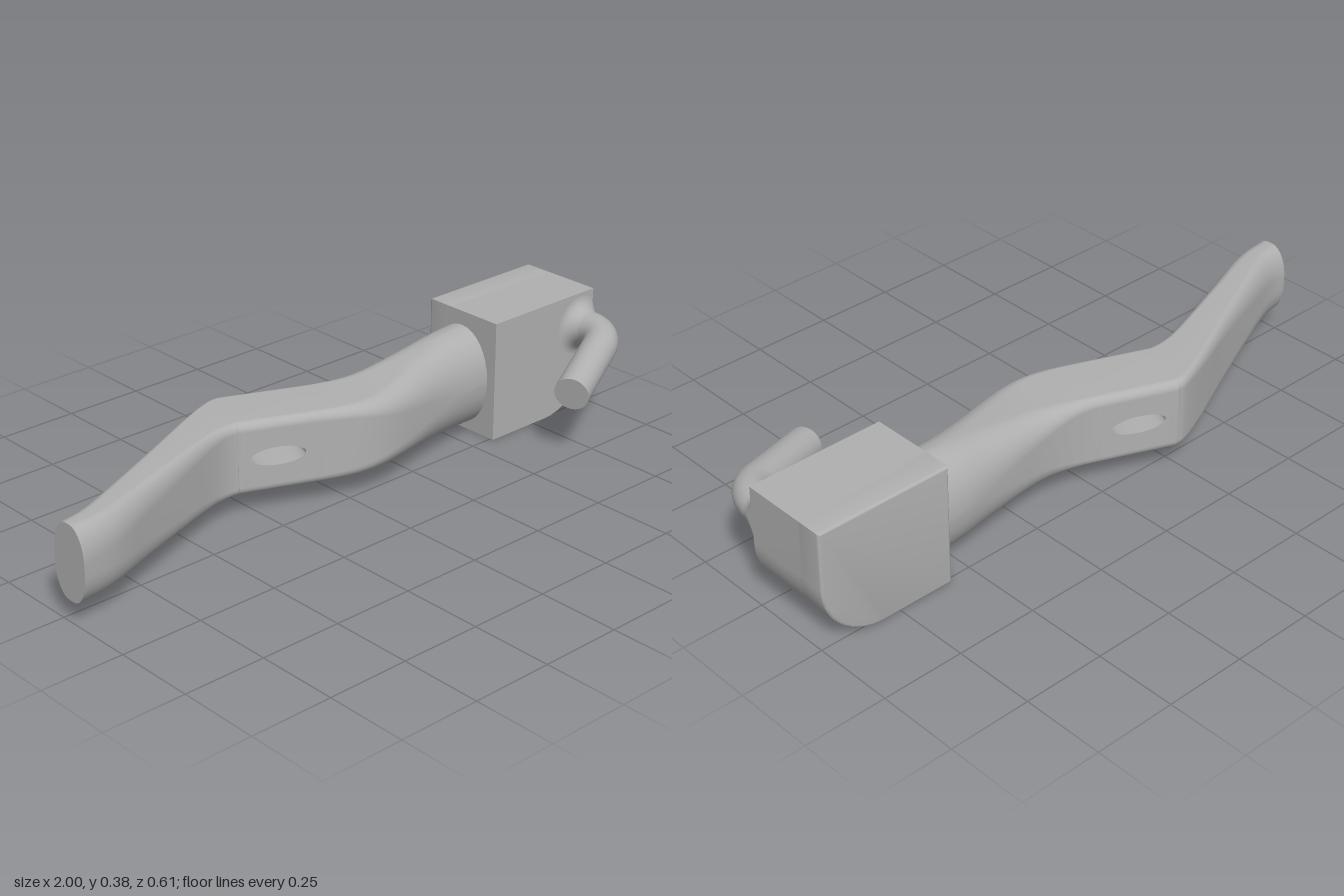
import * as THREE from 'three';
import { toCreasedNormals } from 'three/addons/utils/BufferGeometryUtils.js';

const MID_Y = 0.177, ARC = 8, HOLE_ROW = 8;

// Handle stations: front x, front z, back x, back z, half height, corner roundness
const ROWS = [
  [-1, 0.105, -1, -0.025, 0.112, 0.85],
  [-0.87, 0.08, -0.92, -0.037, 0.112, 0.75],
  [-0.7, 0.01, -0.76, -0.1, 0.112, 0.6],
  [-0.5, -0.07, -0.57, -0.18, 0.112, 0.42],
  [-0.41, -0.103, -0.42, -0.248, 0.112, 0.32],
  [-0.365, -0.114, -0.33, -0.286, 0.112, 0.26],
  [-0.335, -0.116, -0.27, -0.307, 0.112, 0.24],
  [-0.315, -0.114, -0.24, -0.31, 0.112, 0.24],
  [-0.29, -0.106, -0.21, -0.302, 0.112, 0.24],
  [-0.1, -0.025, -0.02, -0.222, 0.111, 0.24],
  [0, 0.017, 0.05, -0.202, 0.111, 0.3],
  [0.07, 0.036, 0.1, -0.196, 0.112, 0.4],
  [0.14, 0.039, 0.15, -0.195, 0.115, 0.52],
  [0.22, 0.029, 0.22, -0.2, 0.122, 0.65],
  [0.36, 0.002, 0.36, -0.219, 0.138, 0.85],
  [0.47, -0.013, 0.47, -0.236, 0.15, 0.95],
  [0.575, -0.021, 0.575, -0.243, 0.155, 0.96],
  [0.6, -0.021, 0.6, -0.243, 0.155, 0.96],
];

function geometryFrom(points, index) {
  const g = new THREE.BufferGeometry();
  g.setAttribute('position', new THREE.Float32BufferAttribute(points.flat(), 3));
  g.setIndex(index);
  g.computeVertexNormals();
  return g;
}

// Catmull-Rom blend of two neighbouring stations
function blend(i, t) {
  const at = (k) => ROWS[Math.min(Math.max(k, 0), ROWS.length - 1)];
  const [a, b, c, d] = [at(i - 1), at(i), at(i + 1), at(i + 2)];
  return b.map((v, k) => v + 0.5 * t * (c[k] - a[k]
    + t * (2 * a[k] - 5 * v + 4 * c[k] - d[k] + t * (3 * (v - c[k]) + d[k] - a[k]))));
}

// Point on a station: q = 1 is the front face, q = -1 the back face
function place([fx, fz, bx, bz], q, y) {
  const f = (1 + q) / 2;
  return [bx + (fx - bx) * f, y, bz + (fz - bz) * f];
}

// Rounded rectangle section, from front over the top to the back and under
function section(row) {
  const [, , , , hh, r] = row, pts = [];
  for (let c = 0; c < 4; c++) {
    const sz = c === 0 || c === 3 ? 1 : -1, sy = c < 2 ? 1 : -1;
    for (let k = 0; k <= ARC; k++) {
      const a = (c + k / ARC) * Math.PI / 2;
      pts.push(place(row, sz * (1 - r) + r * Math.cos(a), MID_Y + hh * (sy * (1 - r) + r * Math.sin(a))));
    }
  }
  return pts;
}

function handleSkin() {
  const sections = [], n = 4 * (ARC + 1), index = [];
  let holeSection = -1;
  for (let i = 0; i < ROWS.length - 1; i++) {
    const steps = i === HOLE_ROW ? 1 : 5;
    if (i === HOLE_ROW) holeSection = sections.length;
    for (let k = 0; k < steps; k++) sections.push(section(blend(i, k / steps)));
  }
  sections.push(section(ROWS[ROWS.length - 1]));
  for (let s = 0; s < sections.length - 1; s++) {
    for (let v = 0; v < n; v++) {
      // leave the flat front and back open where the hole passes
      if (s === holeSection && (v === n - 1 || v === 2 * ARC + 1)) continue;
      const w = (v + 1) % n, a = s * n + v, b = s * n + w;
      index.push(a, a + n, b + n, a, b + n, b);
    }
  }
  return geometryFrom(sections.flat(), index);
}

function handleEnd() {
  const pts = section(ROWS[0]), n = pts.length, index = [];
  for (let v = 0; v < n; v++) index.push(n, v, (v + 1) % n);
  return geometryFrom([...pts, place(ROWS[0], 0, MID_Y)], index);
}

// Flat face with an elliptical opening (side 1 front, -1 back)
const A = ROWS[HOLE_ROW], B = ROWS[HOLE_ROW + 1], SIDES = 48;
const holePoint = (q, u, y) => place(A.map((v, k) => v + (B[k] - v) * u), q, y);
const ellipse = (q, a) => holePoint(q, 0.45 + 0.39 * Math.cos(a), MID_Y + 0.0275 * Math.sin(a));

function holeFace(side) {
  const pts = [], index = [];
  const h = A[4] * (1 - A[5]), h2 = B[4] * (1 - B[5]);
  for (let k = 0; k < SIDES; k++) {
    // spread evenly over the square so its corners are hit exactly
    const a = (k / SIDES) * Math.PI * 2;
    const m = Math.max(Math.abs(Math.cos(a)), Math.abs(Math.sin(a)));
    const u = 0.5 + 0.5 * Math.cos(a) / m;
    pts.push(ellipse(side, a), holePoint(side, u, MID_Y + (h + (h2 - h) * u) * Math.sin(a) / m));
    const i = 2 * k, j = 2 * ((k + 1) % SIDES);
    if (side > 0) index.push(i, i + 1, j + 1, i, j + 1, j);
    else index.push(i, j + 1, i + 1, i, j, j + 1);
  }
  return geometryFrom(pts, index);
}

function holeWall() {
  const pts = [], index = [];
  for (let k = 0; k < SIDES; k++) {
    const a = (k / SIDES) * Math.PI * 2, i = 2 * k, j = 2 * ((k + 1) % SIDES);
    pts.push(ellipse(1, a), ellipse(-1, a));
    index.push(i, j, j + 1, i, j + 1, i + 1);
  }
  return geometryFrom(pts, index);
}

// Block outline with one large rounded lower corner
function blockShape(inset) {
  const l = 0.575 + inset, r = 1 - inset, b = inset, t = 0.377 - inset, rad = 0.2 - inset;
  const s = new THREE.Shape();
  s.moveTo(l, b);
  s.lineTo(r - rad, b);
  s.absarc(r - rad, b + rad, rad, -Math.PI / 2, 0, false);
  s.lineTo(r, t);
  s.lineTo(l, t);
  s.closePath();
  return s;
}

export function createModel() {
  const group = new THREE.Group();
  const grey = new THREE.MeshStandardMaterial({ color: 0xb0b0b0, side: THREE.DoubleSide });
  grey.name = 'plain grey';
  const add = (name, geometry) => {
    const mesh = new THREE.Mesh(geometry, grey);
    mesh.name = name;
    group.add(mesh);
    return mesh;
  };

  // Handle with its through hole
  add('handle', handleSkin());
  add('handleEnd', handleEnd());
  add('holeFrontFace', holeFace(1));
  add('holeBackFace', holeFace(-1));
  add('holeWall', holeWall());

  // Block: sharp front part and a back part with softened edges
  const front = new THREE.ExtrudeGeometry(blockShape(0), { depth: 0.2, bevelEnabled: false, curveSegments: 24 });
  add('blockFront', toCreasedNormals(front.translate(0, 0, -0.19), 0.4));
  const e = 0.008;
  const back = new THREE.ExtrudeGeometry(blockShape(e), {
    depth: 0.08, bevelThickness: e, bevelSize: e, bevelSegments: 4, curveSegments: 24 });
  add('blockBack', toCreasedNormals(back.translate(0, 0, -0.26), 0.5));

  // Bent lever
  const R = 0.053;
  const root = new THREE.Vector3(0.943, 0.272, -0.01);
  const corner = new THREE.Vector3(0.943, 0.272, 0.12);
  const tip = new THREE.Vector3(0.645, 0.212, 0.253);
  const along = tip.clone().sub(corner).normalize();
  const bendStart = corner.clone().setZ(0.045);
  const bendEnd = corner.clone().addScaledVector(along, 0.08);
  const path = new THREE.CurvePath();
  path.add(new THREE.LineCurve3(root, bendStart));
  path.add(new THREE.QuadraticBezierCurve3(bendStart, corner, bendEnd));
  path.add(new THREE.LineCurve3(bendEnd, tip));
  add('lever', new THREE.TubeGeometry(path, 60, R, 32));
  const cap = add('leverTip', new THREE.CircleGeometry(R, 32));
  cap.position.copy(tip);
  cap.quaternion.setFromUnitVectors(new THREE.Vector3(0, 0, 1), along);

  // Flared lever root, trimmed flush with the block side
  const profile = [];
  for (let k = 0; k <= 8; k++) {
    const a = (k / 8) * Math.PI / 2;
    profile.push(new THREE.Vector2(R + 0.04 * (1 - Math.sin(a)), 0.01 + 0.045 * (1 - Math.cos(a))));
  }
  const flare = new THREE.LatheGeometry(profile, 48).rotateX(Math.PI / 2).translate(root.x, root.y, 0);
  const p = flare.attributes.position;
  for (let i = 0; i < p.count; i++) p.setX(i, Math.min(p.getX(i), 0.999));
  flare.computeVertexNormals();
  add('leverRoot', flare);

  return group;
}
